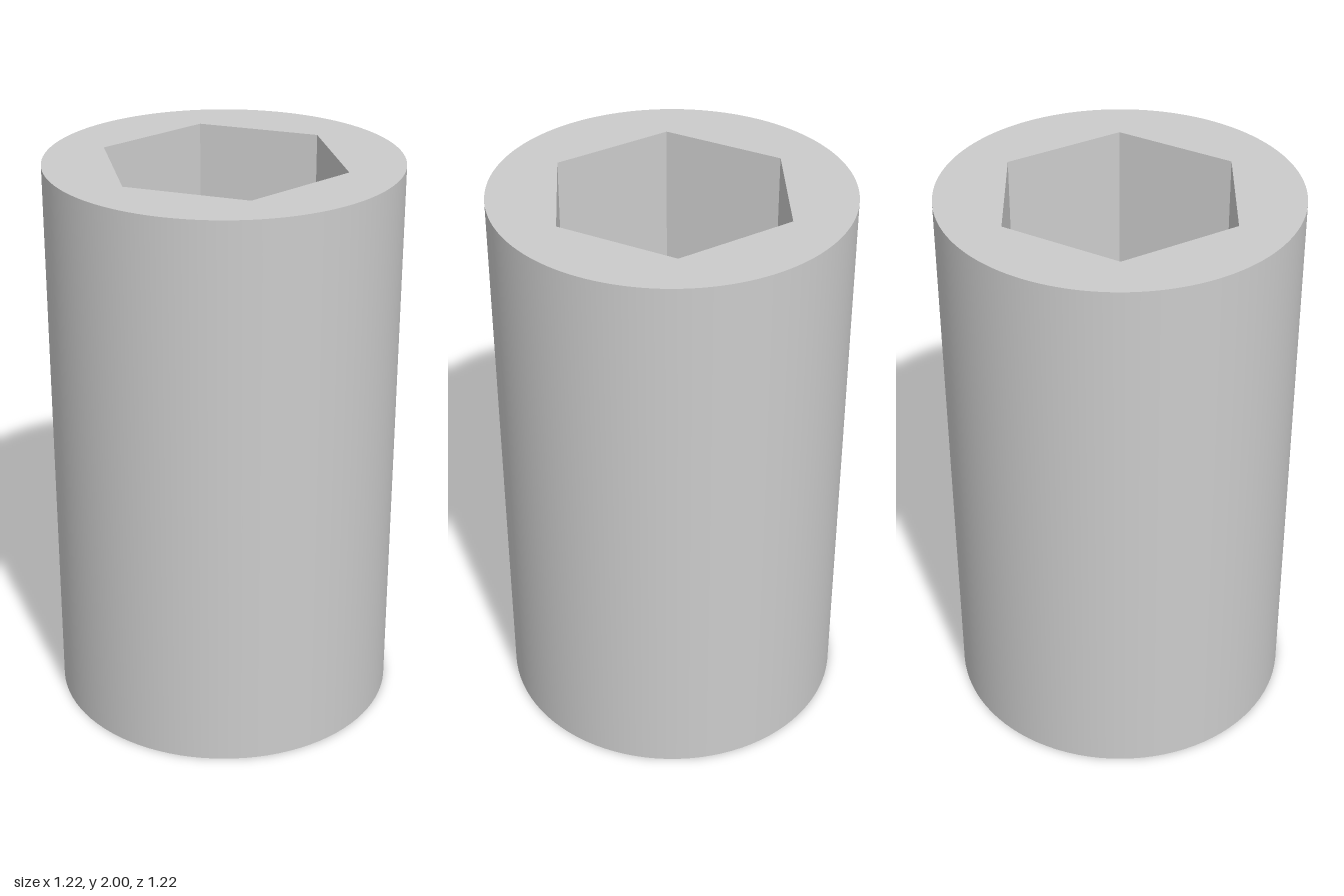
import * as THREE from 'three';

const RADIUS = 0.61, HEIGHT = 2, HEX = 0.433, DEPTH = 1, SEGMENTS = 96;

export function createModel() {
  const group = new THREE.Group();
  group.name = 'hexSocketCylinder';
  const material = new THREE.MeshStandardMaterial({ color: 0xcccccc });

  const add = (name, geometry, y) => {
    const mesh = new THREE.Mesh(geometry, material);
    mesh.name = name;
    mesh.position.y = y;
    group.add(mesh);
  };

  // Hexagon with corners on the x axis
  const hexPoints = Array.from({ length: 6 }, (_, i) => {
    const a = (i * Math.PI) / 3;
    return new THREE.Vector2(HEX * Math.cos(a), HEX * Math.sin(a));
  });

  // Smooth round wall
  add('outerWall', new THREE.CylinderGeometry(RADIUS, RADIUS, HEIGHT, SEGMENTS, 1, true), HEIGHT / 2);

  // Solid base
  add('base', new THREE.CircleGeometry(RADIUS, SEGMENTS).rotateX(Math.PI / 2), 0);

  // Top face around the socket
  const rim = new THREE.Shape().absarc(0, 0, RADIUS, 0, Math.PI * 2, false);
  rim.holes.push(new THREE.Path(hexPoints));
  add('topRim', new THREE.ShapeGeometry(rim, SEGMENTS).rotateX(-Math.PI / 2), HEIGHT);

  // Six flat socket walls, mirrored so that they face inwards
  let walls = new THREE.CylinderGeometry(HEX, HEX, DEPTH, 6, 1, true).rotateY(Math.PI / 2);
  walls = walls.toNonIndexed();
  const p = walls.attributes.position;
  const a = new THREE.Vector3(), b = new THREE.Vector3();
  for (let i = 0; i < p.count; i += 3) {
    a.fromBufferAttribute(p, i);
    b.fromBufferAttribute(p, i + 1);
    p.setXYZ(i, b.x, b.y, b.z);
    p.setXYZ(i + 1, a.x, a.y, a.z);
  }
  walls.computeVertexNormals();
  add('socketWalls', walls, HEIGHT - DEPTH / 2);

  // Flat socket floor
  add('socketFloor', new THREE.ShapeGeometry(new THREE.Shape(hexPoints)).rotateX(-Math.PI / 2), HEIGHT - DEPTH);

  return group;
}
